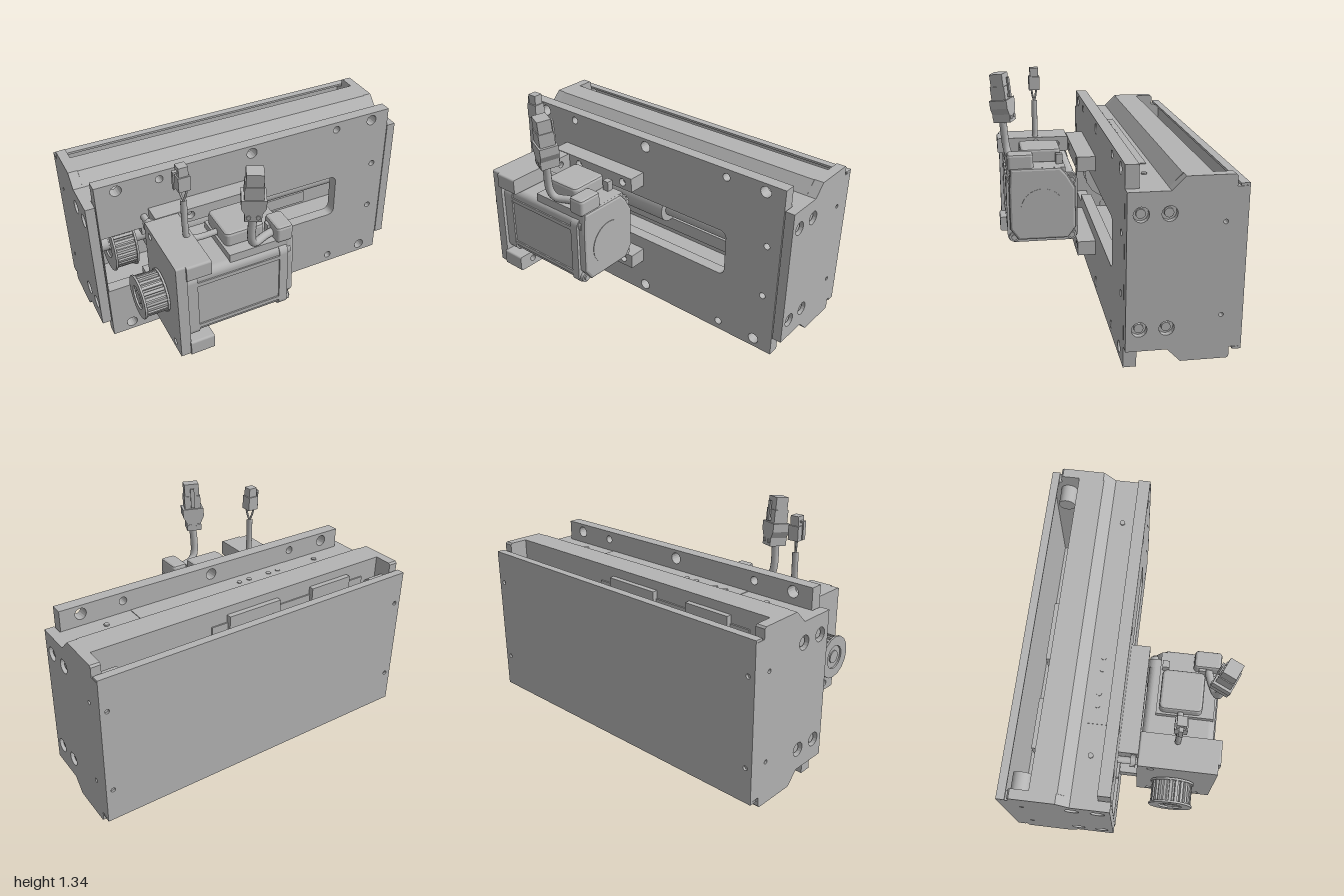
import * as THREE from 'three';

const metal = new THREE.MeshStandardMaterial({ color: 0xb4b4b4 });
metal.name = 'machined grey';

export function createModel() {
  const root = new THREE.Group();
  root.name = 'beltDrivenLinearStage';

  const add = (name, geo, parent = root) => {
    const m = new THREE.Mesh(geo, metal);
    m.name = name;
    parent.add(m);
    return m;
  };
  // Box given by its limits
  const box = (name, x0, x1, y0, y1, z0, z1, parent = root) => {
    const g = new THREE.BoxGeometry(x1 - x0, y1 - y0, z1 - z0);
    g.translate((x0 + x1) / 2, (y0 + y1) / 2, (z0 + z1) / 2);
    return add(name, g, parent);
  };
  const circle = (x, y, r) => new THREE.Path().absarc(x, y, r, 0, Math.PI * 2, true);
  const poly = pts => new THREE.Shape(pts.map(p => new THREE.Vector2(p[0], p[1])));
  const roundRect = (x0, x1, y0, y1, r) => new THREE.Shape()
    .absarc(x1 - r, y1 - r, r, 0, Math.PI / 2).absarc(x0 + r, y1 - r, r, Math.PI / 2, Math.PI)
    .absarc(x0 + r, y0 + r, r, Math.PI, Math.PI * 1.5).absarc(x1 - r, y0 + r, r, Math.PI * 1.5, Math.PI * 2);
  const extrude = (shape, depth, bevel = 0) => new THREE.ExtrudeGeometry(shape, {
    depth: depth - 2 * bevel, bevelEnabled: bevel > 0, bevelSize: bevel, bevelThickness: bevel,
    bevelOffset: -bevel, bevelSegments: 2, curveSegments: 8 }).translate(0, 0, bevel);
  // Profile drawn in (-z, y), swept along x
  const alongX = (name, shape, x0, x1, bevel = 0) =>
    add(name, extrude(shape, x1 - x0, bevel).rotateY(Math.PI / 2).translate(x0, 0, 0));
  const alongZ = (name, shape, z0, z1) => add(name, extrude(shape, z1 - z0).translate(0, 0, z0));
  const rodX = (name, x0, x1, y, z, r) =>
    add(name, new THREE.CylinderGeometry(r, r, x1 - x0, 32).rotateZ(Math.PI / 2).translate((x0 + x1) / 2, y, z));
  const rodZ = (name, z0, z1, x, y, r, n = 24) =>
    add(name, new THREE.CylinderGeometry(r, r, z1 - z0, n).rotateX(Math.PI / 2).translate(x, y, (z0 + z1) / 2));
  const tube = (name, pts, r) => add(name, new THREE.TubeGeometry(
    new THREE.CatmullRomCurve3(pts.map(p => new THREE.Vector3(...p)), false, 'centripetal'), 32, r, 12));

  // Front plate with edge holes and a stepped window for the drive
  const front = poly([[-0.94, 0.005], [0.94, 0.005], [0.94, 1.09], [-0.94, 1.09]]);
  for (const y of [0.06, 1.04]) {
    for (const x of [-0.82, 0, 0.82]) front.holes.push(circle(x, y, 0.033));
    for (const x of [-0.57, 0.57]) front.holes.push(circle(x, y, 0.023));
  }
  for (const y of [0.385, 0.715]) front.holes.push(circle(0.855, y, 0.019));
  front.holes.push(new THREE.Path().moveTo(-0.935, 0.355).lineTo(-0.935, 0.745).lineTo(-0.7, 0.745)
    .lineTo(-0.7, 0.695).lineTo(0.55, 0.695).absarc(0.55, 0.655, 0.04, Math.PI / 2, 0, true)
    .absarc(0.55, 0.445, 0.04, 0, -Math.PI / 2, true).lineTo(-0.7, 0.405).lineTo(-0.7, 0.355).closePath());
  alongZ('frontPlate', front, -0.08, -0.01);

  // Channel body open toward the front plate
  alongX('channelBody', poly([
    [0.08, 0.12], [0.225, 0.12], [0.29, 0.055], [0.44, 0.055], [0.44, 1.04], [0.29, 1.04], [0.225, 0.97],
    [0.08, 0.97], [0.08, 0.86], [0.4, 0.86], [0.4, 0.23], [0.08, 0.23]]), -0.945, 0.945);

  // End plates with counterbored screws
  const end = poly([[0.01, 0.125], [0.225, 0.125], [0.295, 0.053], [0.54, 0.053], [0.55, 0.063], [0.55, 0.115],
    [0.6, 0.115], [0.6, 0.978], [0.55, 0.978], [0.55, 1.03], [0.54, 1.04], [0.295, 1.04], [0.225, 0.97], [0.01, 0.97]]);
  for (const y of [0.245, 0.855]) for (const z of [0.08, 0.22]) end.holes.push(circle(z, y, 0.04));
  for (const y of [0.3, 0.8]) end.holes.push(circle(0.5, y, 0.012));
  for (const s of [-1, 1]) {
    alongX('endPlate', end, s < 0 ? -1 : 0.945, s < 0 ? -0.945 : 1);
    for (const y of [0.245, 0.855]) for (const z of [-0.08, -0.22]) {
      rodX('endScrewSeat', s * 0.955 - 0.015, s * 0.955 + 0.015, y, z, 0.041);
      rodX('endScrew', s * 0.965 - 0.02, s * 0.965 + 0.02, y, z, 0.024);
    }
    // Travel stops
    for (const y of [0.2, 0.9]) rodX('travelStop', s * 0.89 - 0.055, s * 0.89 + 0.055, y, -0.508, 0.05);
  }

  // Back cover with folded lips
  const cover = poly([[-1, 0.1], [1, 0.1], [1, 0.993], [-1, 0.993]]);
  for (const x of [-0.96, 0.96]) for (const y of [0.3, 0.8]) cover.holes.push(circle(x, y, 0.013));
  alongZ('backCover', cover, -0.613, -0.6);
  box('coverLip', -1, 1, 0.98, 0.993, -0.602, -0.567);
  box('coverLip', -1, 1, 0.1, 0.113, -0.602, -0.567);

  // Guide rails and carriages behind the body
  for (const y of [0.19, 0.905]) {
    box('guideRail', -0.83, 0.24, y - 0.04, y + 0.04, -0.448, -0.43);
    for (const [a, b] of [[-0.71, -0.43], [-0.2, 0.14]]) {
      box('carriage', a, b, y - 0.085, y + 0.085, -0.47, -0.43);
      for (const x of [a + 0.05, b - 0.05]) rodZ('carriageScrew', -0.475, -0.465, x, y, 0.016);
    }
  }

  // Strip and screws on top of the body
  box('topStrip', -0.535, 0.53, 0.968, 0.974, -0.2, -0.085);
  for (const x of [-0.71, -0.43, -0.36, -0.22, -0.15, 0.71])
    add('topScrew', new THREE.CylinderGeometry(0.015, 0.015, 0.012, 16).translate(x, 0.972, -0.15));
  // Position sensors under the body
  for (const x of [-0.4, -0.26, -0.12]) {
    box('sensorBody', x - 0.05, x + 0.05, 0.045, 0.13, -0.185, -0.105);
    box('sensorHead', x - 0.03, x + 0.03, 0.045, 0.085, -0.24, -0.18);
  }

  // Screw shaft, nut and support inside the window
  rodX('screwShaft', -0.94, 0.94, 0.55, -0.22, 0.05);
  rodX('screwNut', -0.45, 0.03, 0.55, -0.22, 0.09);
  box('nutSupport', -0.6, 0.11, 0.4, 0.7, -0.41, -0.3);
  box('innerRail', -0.6, 0.5, 0.38, 0.46, -0.41, -0.24);

  // Toothed pulleys with flanges
  const pulley = (y, z, r, teeth) => {
    const pts = [];
    for (let i = 0; i < teeth; i++) [[0, 0.93], [0.5, 0.93], [0.6, 0.84], [0.9, 0.84]].forEach(([f, k]) => {
      const a = (i + f) / teeth * Math.PI * 2;
      pts.push([-z + Math.cos(a) * r * k, y + Math.sin(a) * r * k]);
    });
    alongX('pulleyTeeth', poly(pts), -0.85, -0.725);
    for (const x of [-0.86, -0.73]) {
      const rim = new THREE.Shape().absarc(-z, y, r, 0, Math.PI * 2);
      rim.holes.push(circle(-z, y, r * 0.55));
      alongX('pulleyFlange', rim, x, x + 0.012);
    }
    rodX('pulleyHub', -0.857, -0.7, y, z, r * 0.3);
  };
  pulley(0.55, 0.31, 0.126, 22);
  pulley(0.55, -0.22, 0.18, 32);

  // Motor mount plate, flanges and side bars
  const mount = roundRect(-0.545, -0.1, 0.235, 0.87, 0.01);
  mount.holes.push(circle(-0.31, 0.55, 0.1));
  for (const [z, y] of [[-0.46, 0.28], [-0.175, 0.28], [-0.175, 0.82]]) mount.holes.push(circle(z, y, 0.02));
  alongX('motorMountPlate', mount, -0.715, -0.655);
  for (const [y0, y1] of [[0.235, 0.33], [0.775, 0.87]]) {
    const low = y0 < 0.5, ym = (y0 + y1) / 2;
    const flange = roundRect(-0.558, -0.1, y0, y1, 0.012);
    if (low) flange.holes.push(circle(-0.46, ym, 0.02));
    flange.holes.push(circle(-0.175, ym, 0.02));
    alongX('mountFlange', flange, -0.66, -0.52);
    const bar = poly([[-0.65, y0 + 0.003], [-0.015, y0 + 0.003], [-0.015, y1 - 0.003], [-0.65, y1 - 0.003]]);
    for (const x of [-0.44, -0.085]) bar.holes.push(circle(x, ym, 0.024));
    alongZ('mountBar', bar, -0.01, 0.1);
    for (const x of [-0.44, -0.085]) rodZ('barScrew', -0.01, 0.07, x, ym, 0.018);
  }
  rodZ('tensionBolt', -0.01, 0.11, -0.68, 0.82, 0.02);
  rodZ('tensionNut', 0.06, 0.09, -0.68, 0.82, 0.036, 6);

  // Motor body, end housing and corner screws
  alongX('motorFlange', roundRect(-0.525, -0.095, 0.335, 0.768, 0.05), -0.657, -0.59);
  alongX('motorBody', roundRect(-0.515, -0.105, 0.345, 0.768, 0.04), -0.6, -0.09);
  for (const y of [0.4, 0.7]) box('bodyRib', -0.59, -0.09, y - 0.012, y + 0.012, 0.51, 0.523);
  alongX('rearFlange', roundRect(-0.525, -0.095, 0.335, 0.768, 0.05), -0.1, -0.05);
  alongX('encoderCover', poly([[-0.51, 0.43], [-0.46, 0.36], [-0.16, 0.36], [-0.11, 0.43],
    [-0.11, 0.68], [-0.16, 0.765], [-0.2, 0.81], [-0.5, 0.81], [-0.51, 0.68]]), -0.06, -0.006, 0.015);
  rodX('encoderDisc', -0.02, -0.003, 0.55, 0.31, 0.133);
  for (const y of [0.375, 0.725]) for (const z of [0.135, 0.485]) {
    rodX('cornerScrew', -0.06, -0.03, y, z, 0.03);
    rodX('cornerScrewHead', -0.04, -0.02, y, z, 0.018);
  }

  // Cable sockets on top of the motor
  box('socketBase', -0.39, -0.02, 0.76, 0.81, 0.17, 0.5);
  add('brakeSocket', extrude(roundRect(-0.38, -0.145, -0.43, -0.185, 0.03), 0.09, 0.015)
    .rotateX(-Math.PI / 2).translate(0, 0.8, 0));
  add('powerSocket', extrude(roundRect(-0.115, -0.015, -0.515, -0.36, 0.02), 0.1, 0.015)
    .rotateX(-Math.PI / 2).translate(0, 0.795, 0));
  for (const z of [0.2, 0.41]) box('socketEar', -0.13, -0.09, 0.8, 0.87, z - 0.02, z + 0.02);

  // Thin cable with forked wires and a small plug
  tube('thinCable', [[-0.36, 0.835, 0.31], [-0.5, 0.835, 0.31], [-0.55, 0.86, 0.31], [-0.558, 0.93, 0.31],
    [-0.558, 1.11, 0.31]], 0.018);
  for (const s of [-1, 1])
    tube('plugWire', [[-0.558, 1.1, 0.31], [-0.558 + s * 0.01, 1.14, 0.31 + s * 0.01],
      [-0.558 + s * 0.018, 1.19, 0.31 + s * 0.018]], 0.006);
  box('smallPlug', -0.592, -0.525, 1.18, 1.265, 0.275, 0.343);
  box('smallPlugTip', -0.585, -0.532, 1.26, 1.32, 0.283, 0.335);
  box('plugLatch', -0.61, -0.602, 1.19, 1.295, 0.297, 0.32);
  box('latchRoot', -0.61, -0.58, 1.285, 1.295, 0.297, 0.32);

  // Thick cable and large tilted plug
  tube('thickCable', [[-0.08, 0.835, 0.44], [-0.16, 0.835, 0.46], [-0.24, 0.84, 0.495], [-0.265, 0.88, 0.508],
    [-0.265, 1.06, 0.525]], 0.023);
  const plug = new THREE.Group();
  plug.name = 'largePlug';
  plug.position.set(-0.262, 1.045, 0.512);
  plug.rotation.set(0.1, -0.42, 0);
  root.add(plug);
  const shell = poly([[-0.045, 0], [0.045, 0], [0.045, 0.05], [0.065, 0.09], [0.065, 0.14], [-0.065, 0.14],
    [-0.065, 0.09], [-0.045, 0.05]]);
  add('plugShell', extrude(shell, 0.11).translate(0, 0, -0.055), plug);
  box('plugCollar', -0.05, 0.05, 0.13, 0.22, -0.045, 0.045, plug);
  box('plugTip', -0.045, 0.045, 0.22, 0.295, -0.04, 0.04, plug);
  box('plugLever', -0.012, 0.012, 0.15, 0.27, -0.062, -0.052, plug);
  box('leverRoot', -0.012, 0.012, 0.15, 0.17, -0.055, -0.04, plug);
  for (const x of [-0.025, 0.025])
    add('plugScrew', new THREE.CylinderGeometry(0.013, 0.013, 0.12, 16).rotateX(Math.PI / 2).translate(x, 0.03, 0), plug);

  return root;
}
